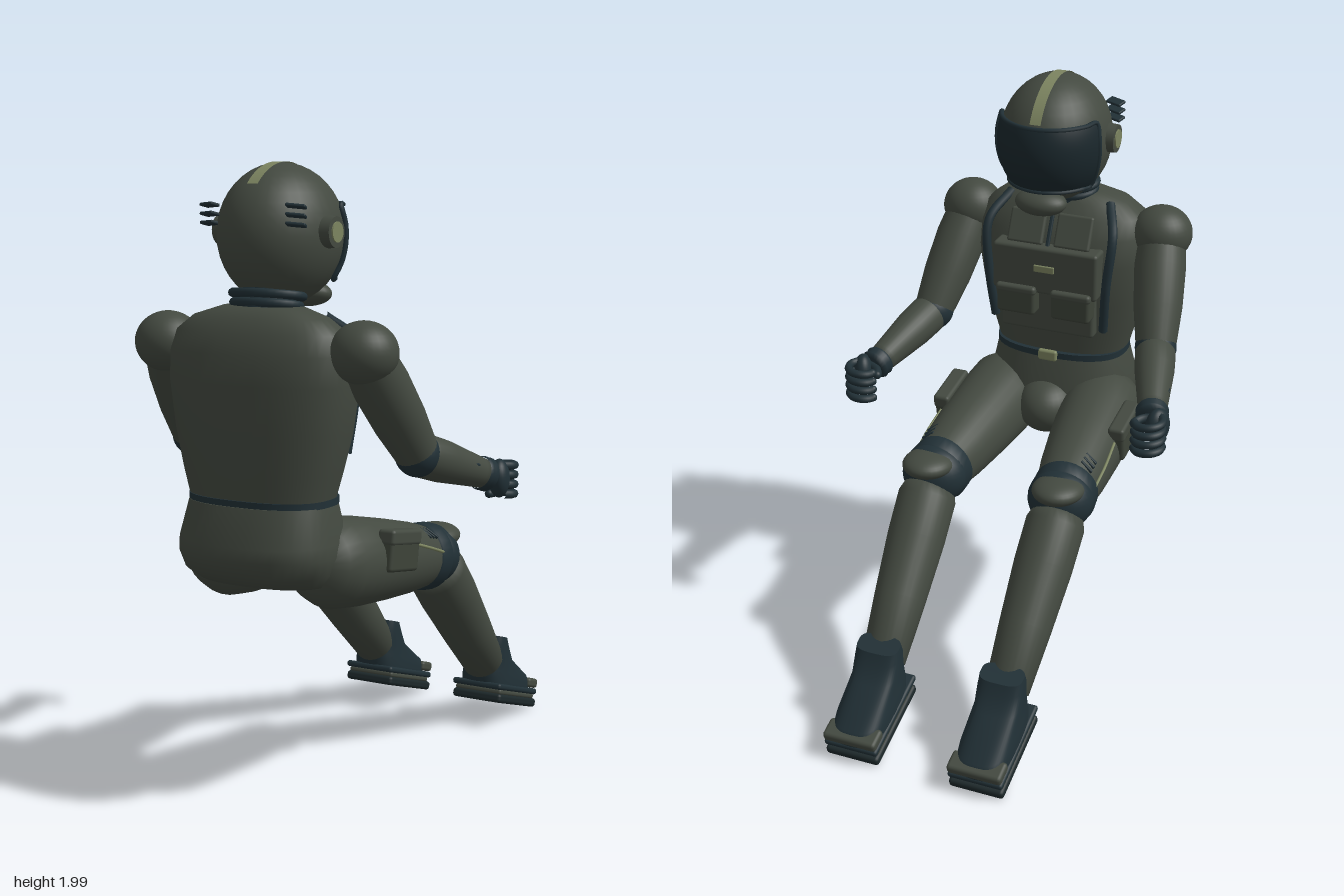
import * as THREE from 'three';
import { toCreasedNormals } from 'three/addons/utils/BufferGeometryUtils.js';
import { RoundedBoxGeometry } from 'three/addons/geometries/RoundedBoxGeometry.js';

const mat = (name, color, side = THREE.FrontSide) => {
  const m = new THREE.MeshStandardMaterial({ color, side });
  m.name = name;
  return m;
};
const SUIT = mat('suit green', 0x434940);
const TEAL = mat('dark teal', 0x213036);
const VISOR = mat('visor dark', 0x1a272c, THREE.DoubleSide);
const SOLE = mat('sole dark', 0x1d282a);
const POUCH = mat('pouch green', 0x3d4339);
const LIME = mat('pale olive', 0x7c8460, THREE.DoubleSide);
const V = (x, y, z) => new THREE.Vector3(x, y, z);

export function createModel() {
  const model = new THREE.Group();
  model.name = 'seatedPilot';

  const add = (name, geo, material, pos = [0, 0, 0], rot = [0, 0, 0], parent = model) => {
    const m = new THREE.Mesh(geo, material);
    m.name = name;
    m.position.set(...pos);
    m.rotation.set(...rot);
    parent.add(m);
    return m;
  };
  const box = (name, size, material, pos, rot, parent, r = 0.012) =>
    add(name, new RoundedBoxGeometry(...size, 2, Math.min(r, Math.min(...size) * 0.45)), material, pos, rot, parent);
  const ball = (name, radii, material, pos, rot, parent) =>
    add(name, new THREE.SphereGeometry(1, 32, 20).scale(...radii), material, pos, rot, parent);
  const tube = (name, pts, r, material, parent, closed = false) =>
    add(name, new THREE.TubeGeometry(new THREE.CatmullRomCurve3(pts, closed), 32, r, 8, closed), material, undefined, undefined, parent);

  // Revolved limb from a to b; profile rows are [radius, fraction of length]
  const limb = (name, a, b, profile, material) => {
    const len = a.distanceTo(b);
    const pts = profile.map(([r, t]) => new THREE.Vector2(r, t * len));
    const m = add(name, new THREE.LatheGeometry(pts, 28), material);
    m.position.copy(a);
    m.quaternion.setFromUnitVectors(V(0, 1, 0), b.clone().sub(a).normalize());
    return m;
  };

  // Stack of superellipse rings; rows are [y, half width, front z, back z]
  const loft = (rings, power, crease = 0.8, n = 40) => {
    const pos = [], idx = [];
    const bend = (c) => Math.sign(c) * Math.abs(c) ** (2 / power);
    for (const [y, rx, zf, zb] of rings)
      for (let j = 0; j < n; j++) {
        const a = (j / n) * Math.PI * 2;
        pos.push(rx * bend(Math.cos(a)), y, (zf + zb) / 2 + ((zb - zf) / 2) * bend(Math.sin(a)));
      }
    const last = rings.length - 1, c0 = rings.length * n;
    for (const [y, , zf, zb] of [rings[0], rings[last]]) pos.push(0, y, (zf + zb) / 2);
    for (let j = 0; j < n; j++) {
      const k = (j + 1) % n;
      for (let i = 0; i < last; i++) {
        const a = i * n + j, b = a + n, c = i * n + k, d = c + n;
        idx.push(a, b, c, b, d, c);
      }
      idx.push(c0, j, k, c0 + 1, last * n + k, last * n + j);
    }
    const g = new THREE.BufferGeometry();
    g.setAttribute('position', new THREE.Float32BufferAttribute(pos, 3));
    g.setIndex(idx);
    return toCreasedNormals(g, crease);
  };

  // Torso, pelvis and belt
  add('torso', loft([[0.98, 0.23, 0.44, 0.73], [1.08, 0.258, 0.425, 0.738], [1.2, 0.288, 0.41, 0.742],
    [1.35, 0.31, 0.40, 0.745], [1.44, 0.305, 0.42, 0.738], [1.5, 0.285, 0.45, 0.715],
    [1.545, 0.225, 0.48, 0.69], [1.575, 0.13, 0.5, 0.65]], 2.5), SUIT);
  add('pelvis', loft([[0.72, 0.17, 0.42, 0.62], [0.735, 0.225, 0.4, 0.7], [0.775, 0.25, 0.385, 0.762],
    [0.83, 0.262, 0.385, 0.785], [0.87, 0.26, 0.39, 0.782], [0.985, 0.236, 0.42, 0.742]], 2.5), SUIT);
  ball('crotch', [0.11, 0.1, 0.13], SUIT, [0, 0.8, 0.43]);
  add('belt', loft([[0.982, 0.238, 0.418, 0.738], [1.004, 0.238, 0.418, 0.738]], 2.5), TEAL);
  box('buckle', [0.07, 0.04, 0.02], LIME, [0, 0.995, 0.412]);

  // Chest gear
  box('chestPlate', [0.38, 0.17, 0.08], SUIT, [0, 1.33, 0.405]);
  box('lowerVest', [0.34, 0.16, 0.05], SUIT, [0, 1.17, 0.425]);
  box('chestLabel', [0.075, 0.025, 0.008], LIME, [0, 1.34, 0.363]);
  box('zip', [0.014, 0.12, 0.01], TEAL, [0, 1.46, 0.418], [0.45, 0, 0]);
  for (const s of [-1, 1]) {
    box('chestPouch', [0.14, 0.1, 0.07], POUCH, [s * 0.1, 1.215, 0.385]);
    box('chestPouchFlap', [0.146, 0.03, 0.078], SUIT, [s * 0.1, 1.255, 0.385]);
    box('collarPanel', [0.13, 0.12, 0.02], SUIT, [s * 0.085, 1.465, 0.425], [0.45, 0, 0]);
    tube('harnessStrap', [V(s * 0.18, 1.55, 0.52), V(s * 0.225, 1.47, 0.42), V(s * 0.215, 1.3, 0.395), V(s * 0.2, 1.12, 0.42)], 0.016, TEAL);
  }

  // Neck with rings
  limb('neck', V(0, 1.52, 0.565), V(0, 1.66, 0.53), [[0.085, 0], [0.085, 1]], TEAL);
  for (let i = 0; i < 3; i++)
    add('neckRing', new THREE.TorusGeometry(0.09 + i * 0.006, 0.014, 10, 32).scale(1.12, 0.8, 1), TEAL,
      [0, 1.55 + i * 0.028, 0.56 - i * 0.006], [Math.PI / 2 - 0.15, 0, 0]);

  // Helmet
  const head = new THREE.Group();
  head.name = 'helmet';
  head.position.set(0, 1.785, 0.468);
  model.add(head);
  ball('helmetShell', [0.186, 0.215, 0.221], SUIT, [0, 0, 0], undefined, head);
  const RAD = Math.PI / 180;
  add('crest', new THREE.CylinderGeometry(1, 1, 0.038, 40, 1, true, 45 * RAD, 108 * RAD).rotateZ(Math.PI / 2)
    .scale(1, 0.2165, 0.2235), LIME, [0, 0, 0], undefined, head);
  const visorSize = [0.194, 0.225, 0.23];
  add('visor', new THREE.SphereGeometry(1, 40, 16, (270 - 70) * RAD, 140 * RAD, 67 * RAD, 60 * RAD)
    .scale(...visorSize), VISOR, [0, 0, 0], undefined, head);
  const rim = [];
  const rimPoint = (a, t) => rim.push(V(Math.sin(a * RAD) * Math.sin(t * RAD) * visorSize[0],
    Math.cos(t * RAD) * visorSize[1], -Math.cos(a * RAD) * Math.sin(t * RAD) * visorSize[2]));
  for (let a = -70; a <= 70; a += 14) rimPoint(a, 67);
  for (let t = 82; t <= 112; t += 15) rimPoint(70, t);
  for (let a = 70; a >= -70; a -= 14) rimPoint(a, 127);
  for (let t = 112; t >= 82; t -= 15) rimPoint(-70, t);
  add('visorRim', new THREE.TubeGeometry(new THREE.CatmullRomCurve3(rim, true), 120, 0.008, 6, true), TEAL, undefined, undefined, head);
  ball('mouthpiece', [0.09, 0.042, 0.06], SUIT, [0, -0.187, -0.138], [-0.15, 0, 0], head);
  for (const s of [-1, 1]) {
    add('earCup', new THREE.CylinderGeometry(0.047, 0.05, 0.05, 28), SUIT, [s * 0.183, 0.01, 0.022], [0, 0, -s * Math.PI / 2], head);
    add('earDisc', new THREE.CylinderGeometry(0.031, 0.031, 0.008, 28), LIME, [s * 0.209, 0.01, 0.022], [0, 0, -s * Math.PI / 2], head);
    for (let i = 0; i < 3; i++)
      box('ventFin', [0.06, 0.01, 0.035], TEAL, [s * 0.152, 0.035 + i * 0.027, 0.16], [-0.25, s * 0.35, 0], head, 0.004);
  }

  for (const s of [-1, 1]) {
    // Arm
    const shoulder = V(s * 0.35, 1.45, 0.575), elbow = V(s * 0.412, 1.125, 0.355), wrist = V(s * 0.5, 1.025, 0.06);
    ball('shoulder', [0.105, 0.096, 0.102], SUIT, shoulder.toArray());
    limb('upperArm', shoulder, elbow, [[0.08, 0], [0.088, 0.3], [0.083, 0.65], [0.068, 1]], SUIT);
    ball('elbow', [0.071, 0.071, 0.071], TEAL, elbow.toArray());
    limb('forearm', elbow, wrist, [[0.06, 0.06], [0.069, 0.1], [0.067, 0.35], [0.05, 0.85], [0.046, 0.97], [0, 0.97]], SUIT);
    limb('gloveCuff', elbow, wrist, [[0.05, 0.9], [0.055, 0.93], [0.05, 0.97], [0.055, 1], [0.045, 1.05], [0, 1.06]], TEAL);
    box('forearmTab', [0.008, 0.01, 0.08], TEAL, [s * 0.513, 1.08, 0.19], [-0.25, -s * 0.28, 0]);

    // Gloved hand: palm, four curled fingers and a thumb
    ball('palm', [0.034, 0.062, 0.048], TEAL, [s * 0.53, 1.01, 0.025], [0, s * 0.4, 0]);
    const curl = (y, from, to, r) => Array.from({ length: 7 }, (_, i) => {
      const a = (from + ((to - from) * i) / 6) * RAD;
      return V(s * (0.513 + r * Math.cos(a)), y - 0.012 * (i / 6), -0.018 + r * Math.sin(a));
    });
    for (let i = 0; i < 4; i++) {
      const pts = curl(0.957 + i * 0.031, 50, -165, 0.046);
      tube('finger', pts, 0.0135, TEAL);
      ball('fingertip', [0.0135, 0.0135, 0.0135], TEAL, pts[6].toArray());
    }
    const thumb = curl(1.035, 80, 170, 0.052);
    tube('thumb', thumb, 0.015, TEAL);
    ball('thumbTip', [0.015, 0.015, 0.015], TEAL, thumb[6].toArray());

    // Leg
    const hip = V(s * 0.185, 0.79, 0.5), knee = V(s * 0.228, 0.715, -0.02), ankle = V(s * 0.222, 0.24, -0.51);
    limb('thigh', hip, knee, [[0, -0.22], [0.07, -0.19], [0.12, -0.11], [0.143, 0], [0.143, 0.2], [0.132, 0.5],
      [0.118, 0.78], [0.1, 1]], SUIT);
    ball('kneeJoint', [0.113, 0.105, 0.1], TEAL, [s * 0.23, 0.715, -0.055]);
    limb('kneeBand', hip, knee, [[0.1, 0.93], [0.111, 0.94], [0.113, 1.04], [0.09, 1.08]], TEAL);
    ball('kneePad', [0.087, 0.042, 0.098], SUIT, [s * 0.235, 0.772, -0.095], [0.05, 0, 0]);
    limb('shin', V(s * 0.235, 0.675, -0.09), ankle, [[0, -0.03], [0.085, -0.01], [0.1, 0.06], [0.099, 0.3], [0.088, 0.65], [0.074, 1], [0, 1.05]], SUIT);
    for (let i = 0; i < 3; i++)
      box('thighBar', [0.05, 0.012, 0.009], TEAL, [s * 0.29, 0.806 + i * 0.004, 0.025 + i * 0.022], [0, s * 0.2, -s * 0.6], undefined, 0.003);
    box('thighPouch', [0.055, 0.13, 0.18], POUCH, [s * 0.325, 0.808, 0.312], [-0.16, 0, 0]);
    box('thighPouchFlap', [0.06, 0.05, 0.188], SUIT, [s * 0.326, 0.85, 0.305], [-0.16, 0, 0]);
    tube('thighPiping', [V(s * 0.324, 0.81, 0.21), V(s * 0.33, 0.775, 0.1), V(s * 0.328, 0.745, 0.01)], 0.005, LIME);

    // Boot, tilted toe down
    const boot = new THREE.Group();
    boot.name = 'boot';
    boot.position.set(s * 0.22, 0.055, -0.612);
    boot.rotation.x = -0.31;
    model.add(boot);
    box('sole', [0.19, 0.032, 0.325], SOLE, [0, 0.017, 0], undefined, boot);
    box('midsole', [0.18, 0.02, 0.3], SUIT, [0, 0.04, 0.005], undefined, boot);
    box('welt', [0.19, 0.022, 0.335], TEAL, [0, 0.058, 0.008], undefined, boot);
    add('bootUpper', loft([[0.06, 0.09, -0.155, 0.17], [0.085, 0.09, -0.155, 0.18], [0.112, 0.086, -0.13, 0.185],
      [0.16, 0.078, 0.025, 0.186], [0.205, 0.078, 0.08, 0.188], [0.235, 0.074, 0.105, 0.185]], 3.2), TEAL, undefined, undefined, boot);
    box('toeCap', [0.188, 0.035, 0.075], SUIT, [0, 0.088, -0.122], undefined, boot);
  }
  return model;
}
